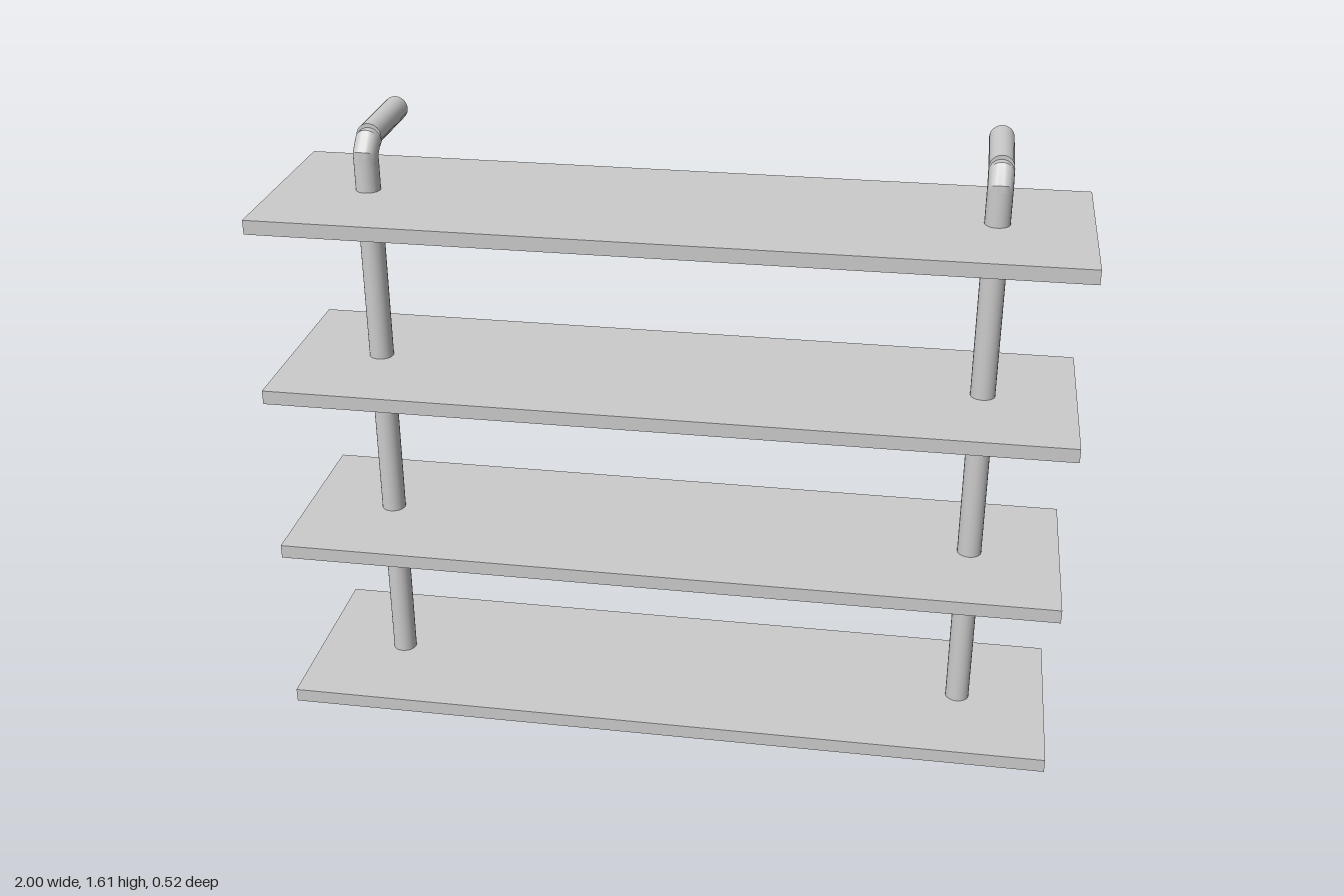
import * as THREE from 'three';
import { toCreasedNormals } from 'three/addons/utils/BufferGeometryUtils.js';

const R = 0.031, SIDES = 24, POLE_X = 0.77, POLE_Z = 0.004;

// Mitred elbow: each ring of a cylinder is moved to a station [y, z, tilt] along the bend
function elbowGeometry() {
  const stations = [[1.52, 0, 0], [1.544, 0, 22.5], [1.569, -0.025, 67.5], [1.569, -0.036, 90]];
  const geo = new THREE.CylinderGeometry(R, R, 3, SIDES, 3);
  const p = geo.attributes.position;
  for (let i = 0; i < p.count; i++) {
    const [y, z, tilt] = stations[Math.round(p.getY(i) + 1.5)];
    const a = THREE.MathUtils.degToRad(tilt);
    const stretch = tilt % 90 ? 1 / Math.cos(Math.PI / 8) : 1;
    const d = p.getZ(i) * stretch;
    p.setY(i, y + d * Math.sin(a));
    p.setZ(i, z + d * Math.cos(a));
  }
  return toCreasedNormals(geo, 0.6);
}

export function createModel() {
  const model = new THREE.Group();
  model.name = 'hangingShelf';
  const material = new THREE.MeshStandardMaterial({ color: 0xcccccc });
  const add = (parent, name, geo, x, y, z) => {
    const mesh = new THREE.Mesh(geo, material);
    mesh.name = name;
    mesh.position.set(x, y, z);
    parent.add(mesh);
    return mesh;
  };

  // Four evenly spaced boards; the second is very slightly shallower
  for (let i = 0; i < 4; i++) {
    const front = i === 1 ? 0.256 : 0.262, back = -0.256;
    add(model, `shelf${i + 1}`, new THREE.BoxGeometry(2, 0.036, front - back),
      0, 0.085 + i * 0.45, (front + back) / 2);
  }

  // Pair of poles, each bending back into a wall peg
  for (const [side, s] of [['left', 1], ['right', -1]]) {
    const pole = new THREE.Group();
    pole.name = `${side}Pole`;
    pole.position.set(s * POLE_X, 0, POLE_Z);
    add(pole, 'upright', new THREE.CylinderGeometry(R, R, 1.54, SIDES), 0, 0.77, 0);
    add(pole, 'elbow', elbowGeometry(), 0, 0, 0);
    const length = 0.232;
    add(pole, 'wallPeg', new THREE.CylinderGeometry(R, R, length, SIDES),
      0, 1.579, -0.034 - length / 2).rotation.x = Math.PI / 2;
    model.add(pole);
  }
  return model;
}
